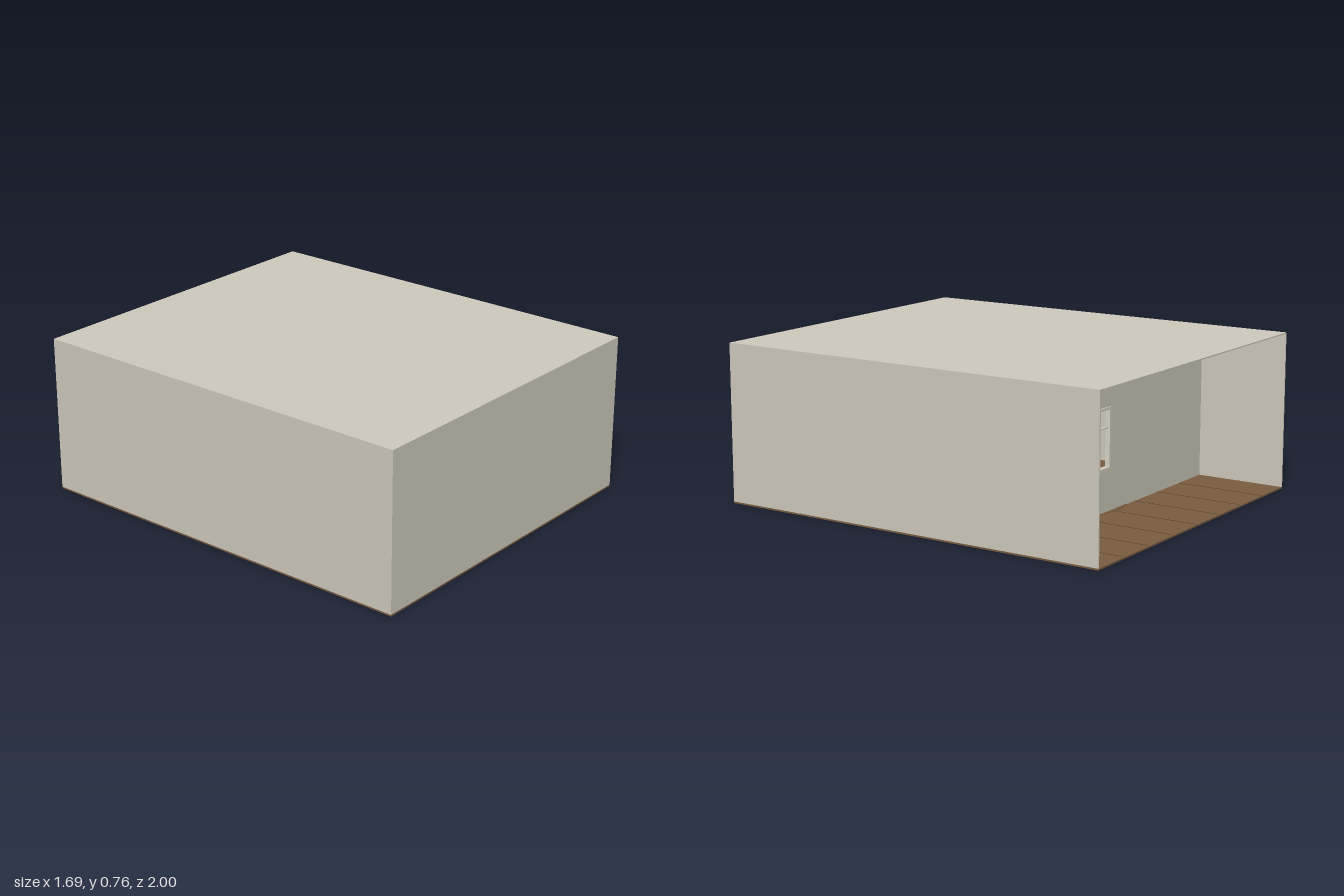
import * as THREE from 'three';

export function createModel() {
  const root = new THREE.Group();
  root.name = 'room';
  const mat = (name, color) => {
    const m = new THREE.MeshStandardMaterial({ color });
    m.name = name;
    return m;
  };
  const plaster = mat('plaster', 0xcfcabc);
  const wood = mat('floorWood', 0x7a5d41);
  const gap = mat('plankGap', 0x4a3626);
  const trim = mat('windowTrim', 0xd6d2c6);

  const add = (name, geo, material, x, y, z, parent = root) => {
    const m = new THREE.Mesh(geo, material);
    m.name = name;
    m.position.set(x, y, z);
    parent.add(m);
    return m;
  };
  const box = (name, w, h, d, material, x, y, z, parent) =>
    add(name, new THREE.BoxGeometry(w, h, d), material, x, y, z, parent);

  const W = 1.69, H = 0.762, D = 2, F = 0.008, T = 0.006;
  const wallH = H - F - T;

  // Shell: floor, ceiling, two sides and the front; the back is open
  box('floor', W, F, D, wood, 0, F / 2, 0);
  box('ceiling', W, T, D, plaster, 0, H - T / 2, 0);
  for (const s of [-1, 1]) {
    box(s > 0 ? 'leftWall' : 'rightWall', T, wallH, D, plaster,
      s * (W - T) / 2, F + wallH / 2, 0);
  }
  box('frontWall', W - 2 * T, wallH, T, plaster, 0, F + wallH / 2, (D - T) / 2);

  // Floorboard joints
  for (let i = 1; i < 8; i++) {
    box('plankGap', 0.003, 0.001, D - 0.02, gap, -W / 2 + (i * W) / 8, F + 0.0004, 0);
  }

  // Inner wall with a window opening
  const win = { x0: 0.025, x1: 0.265, y0: 0.215, y1: 0.495 };
  const hw = W / 2 - T;
  const wall = new THREE.Shape();
  wall.moveTo(-hw, F).lineTo(hw, F).lineTo(hw, H - T).lineTo(-hw, H - T).closePath();
  const hole = new THREE.Path();
  hole.moveTo(win.x0, win.y0).lineTo(win.x0, win.y1).lineTo(win.x1, win.y1)
    .lineTo(win.x1, win.y0).closePath();
  wall.holes.push(hole);
  add('innerWall', new THREE.ExtrudeGeometry(wall, { depth: 0.012, bevelEnabled: false }),
    plaster, 0, 0, -0.55);

  // Window frame and glazing bars
  const frame = new THREE.Group();
  frame.name = 'window';
  root.add(frame);
  const cx = (win.x0 + win.x1) / 2, cy = (win.y0 + win.y1) / 2;
  const ww = win.x1 - win.x0, wh = win.y1 - win.y0, zc = -0.545;
  for (const s of [-1, 1]) {
    box('frameSide', 0.012, wh + 0.012, 0.024, trim, cx + s * ww / 2, cy, zc, frame);
    box('frameRail', ww - 0.012, 0.012, 0.024, trim, cx, cy + s * wh / 2, zc, frame);
    box('sashBar', 0.007, wh - 0.012, 0.012, trim, cx + s * ww / 6, cy, zc, frame);
  }
  box('crossBar', ww - 0.012, 0.007, 0.011, trim, cx, cy + 0.05, zc, frame);

  // Round rug reaching just under the inner wall
  add('rug', new THREE.CylinderGeometry(0.37, 0.37, 0.003, 40), wood, -0.02, F + 0.0015, -0.2);

  // Small stool behind the window
  const stool = new THREE.Group();
  stool.name = 'stool';
  stool.position.set(0.3, F, -0.24);
  root.add(stool);
  add('seat', new THREE.CylinderGeometry(0.06, 0.06, 0.015, 20), trim, 0, 0.11, 0, stool);
  for (const sx of [-1, 1]) for (const sz of [-1, 1]) {
    add('leg', new THREE.CylinderGeometry(0.006, 0.006, 0.103, 8), gap,
      sx * 0.035, 0.0515, sz * 0.035, stool);
  }
  return root;
}
